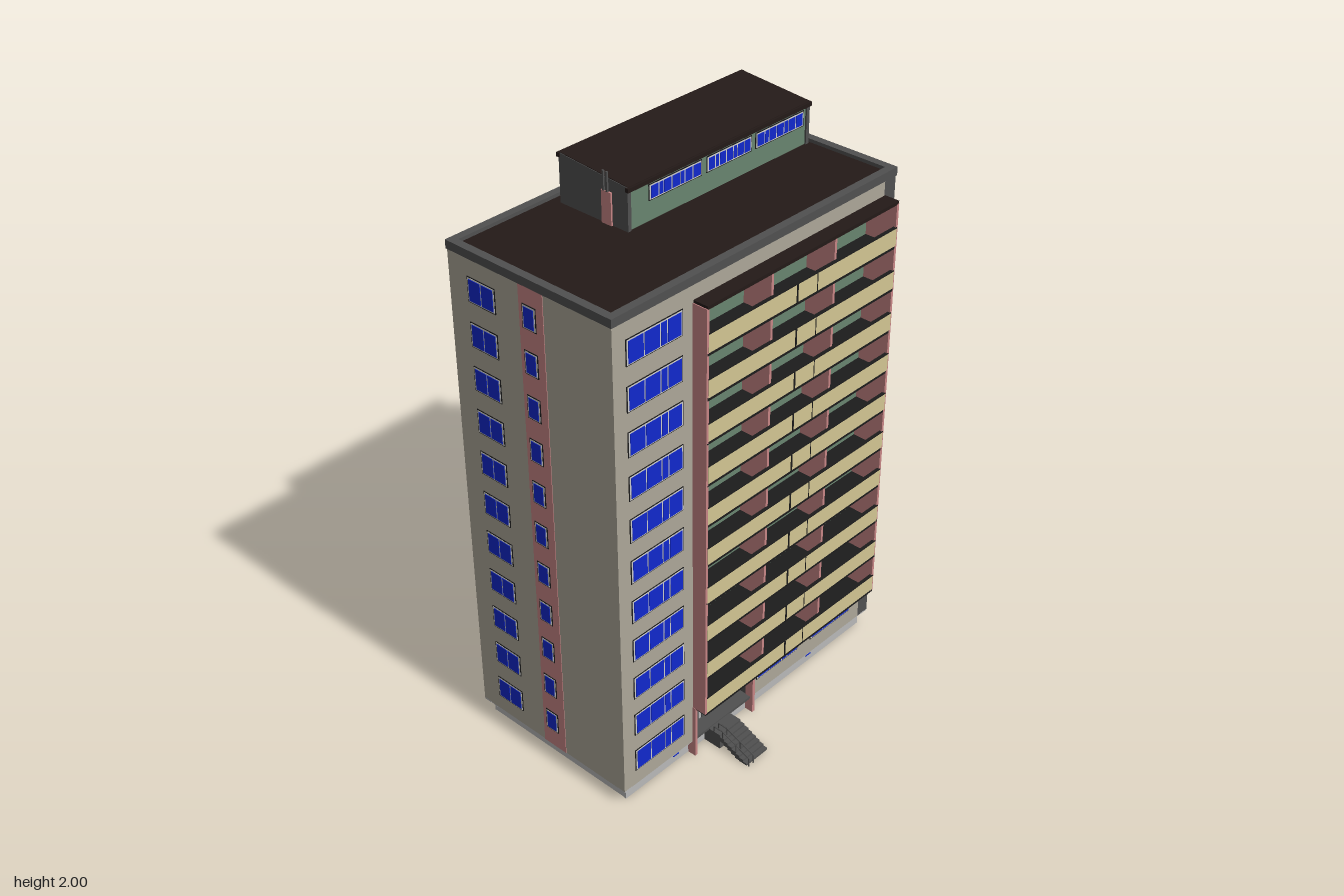
import * as THREE from 'three';

const COLORS = {
  wall: 0xada799, plinth: 0xb8b8b8, dark: 0x505050, roof: 0x241a18, green: 0x68846f,
  tan: 0xd2c592, pink: 0xc88686, blue: 0x1028cc, frame: 0xcccccc, black: 0x1c1c1c,
};
const MATS = {};
for (const k in COLORS) MATS[k] = new THREE.MeshStandardMaterial({ color: COLORS[k] });

const ROWS = 11, STEP = 0.1538, ROW0 = 0.164; // storeys, storey height, first window centre
const BASE = 0.06, TOP = 1.83, SLAB0 = 0.21;
const BAYS = [-0.3, -0.01, 0.283, 0.577];     // loggia divider positions

// Box given by its minimum and maximum along each axis
function box(parent, name, mat, x0, x1, y0, y1, z0, z1) {
  const w = Math.abs(x1 - x0);
  const m = new THREE.Mesh(new THREE.BoxGeometry(w, y1 - y0, z1 - z0), MATS[mat]);
  m.position.set((x0 + x1) / 2, (y0 + y1) / 2, (z0 + z1) / 2);
  m.name = name;
  parent.add(m);
  return m;
}

// Framed window facing +z; panes holds the relative widths of its panes
function windowUnit(parent, x, y, z, w, h, panes) {
  const g = new THREE.Group();
  g.name = 'window';
  g.position.set(x, y, z);
  parent.add(g);
  box(g, 'windowSurround', 'black', -w / 2 - 0.003, w / 2 + 0.003, -h / 2 - 0.003, h / 2 + 0.003, -0.014, 0.002);
  box(g, 'windowFrame', 'frame', -w / 2, w / 2, -h / 2, h / 2, -0.015, 0.003);
  const gap = 0.005, sum = panes.reduce((a, b) => a + b, 0);
  const unit = (w - gap * (panes.length + 1)) / sum;
  let px = -w / 2 + gap;
  for (const p of panes) {
    box(g, 'windowPane', 'blue', px, px + p * unit, -h / 2 + 0.004, h / 2 - 0.004, -0.016, 0.0045);
    px += p * unit + gap;
  }
  return g;
}

const WIDE = [1, 1, 0.4, 0.9];

// Long facade with loggias, built facing +z at depth D; s = -1 swaps the x direction
function facade(name, s, D) {
  const g = new THREE.Group();
  g.name = name;
  const b = (n, m, x0, x1, y0, y1, z0, z1) => box(g, n, m, s * x0, s * x1, y0, y1, z0, z1);
  const front = s === 1, inner = D - 0.06, outer = D + 0.055, t = 0.01;
  const [xa, xb] = [BAYS[0], BAYS[3]];

  // Wall pieces around the loggias
  b('facadeWall', 'wall', -0.63, xa, BASE, TOP, D - t, D);
  b('cornerStrip', front ? 'dark' : 'wall', xb, 0.63, BASE, TOP, D - t, D);
  b('upperWall', 'wall', xa, xb, 1.75, TOP, D - t, D);
  b('groundWall', 'wall', front ? -0.005 : xa, xb, BASE, SLAB0, D - t, D);
  b('loggiaWall', 'green', xa, xb, SLAB0, 1.75, inner - t, inner);

  // Dividers, end walls and ground columns
  BAYS.forEach((x, i) => {
    const end = i === 0 || i === 3;
    b('loggiaDivider', 'pink', x - 0.005, x + 0.005, SLAB0, 1.745, inner, end ? outer : outer - 0.008);
    if (i < 2) b('groundColumn', 'pink', x - 0.006, x + 0.006, 0, SLAB0, D - 0.02, D + 0.012);
  });

  // Slabs, parapets and loggia windows
  for (let r = 0; r < ROWS; r++) {
    const y = SLAB0 + r * STEP;
    b(r === ROWS - 1 ? 'loggiaRoof' : 'loggiaSlab', r === ROWS - 1 ? 'roof' : 'black',
      xa - 0.002, xb + 0.004, y - 0.006, y + 0.006, inner, outer);
    if (r === ROWS - 1) break;
    b('parapet', 'tan', xa + 0.003, xb, y + 0.004, y + 0.066, outer - 0.008, outer + 0.001);
    b('parapetJoint', 'black', 0.092, 0.098, y, y + 0.066, outer - 0.009, outer + 0.003);
    b('parapetJoint', 'black', 0.188, 0.191, y, y + 0.066, outer - 0.009, outer + 0.002);
    b('parapetRail', 'black', xa + 0.003, xb, y + 0.066, y + 0.07, outer - 0.009, outer + 0.002);
    for (let i = 0; i < 3; i++) {
      const x = front ? BAYS[i] + 0.112 : BAYS[i + 1] - 0.112;
      windowUnit(g, s * x, ROW0 + (r + 1) * STEP, inner, 0.195, 0.085, WIDE);
    }
  }

  // Window column beside the loggias and ground-floor windows
  for (let r = 0; r < ROWS; r++) windowUnit(g, s * -0.463, ROW0 + r * STEP, D, 0.225, 0.082, WIDE);
  for (const x of front ? [0.125, 0.412] : [-0.14, 0.115, 0.42]) {
    windowUnit(g, s * x, ROW0, D, 0.215, 0.08, WIDE);
  }

  // Plinth with ledge and cellar windows
  b('plinthWall', 'plinth', -0.605, 0.603, 0, BASE, D - 0.03, D - 0.02);
  b('plinthLedge', 'plinth', -0.63, 0.63, BASE - 0.004, BASE + 0.002, D - 0.032, D - 0.001);
  for (const x of [-0.368, 0.015, 0.32]) b('cellarWindow', 'blue', x - 0.013, x + 0.013, 0.027, 0.043, D - 0.032, D - 0.017);

  // Roof rim
  b('roofRim', 'dark', -0.633, 0.633, TOP - 0.025, TOP + 0.004, D - 0.025, D + 0.003);
  if (!front) g.rotation.y = Math.PI;
  return g;
}

// Short end walls, built facing +z; local x runs along the building depth
function endWall(name, s) {
  const g = new THREE.Group();
  g.name = name;
  const W = 0.63, x = (z) => -s * z;
  const b = (n, m, z0, z1, y0, y1, d0, d1) => box(g, n, m, x(z0), x(z1), y0, y1, d0, d1);
  b('endWall', 'wall', -0.4, 0.27, BASE, TOP, W - 0.01, W);
  b('plinthWall', 'plinth', -0.38, 0.25, 0, BASE, W - 0.036, W - 0.026);
  b('plinthLedge', 'plinth', -0.4, 0.27, BASE - 0.004, BASE + 0.002, W - 0.036, W - 0.001);
  b('roofRim', 'dark', -0.4, 0.27, TOP - 0.025, TOP + 0.004, W - 0.025, W + 0.003);
  if (s < 0) b('stairStrip', 'pink', -0.1, 0.0, BASE, TOP - 0.025, W - 0.012, W + 0.002);
  for (let r = 0; r < ROWS; r++) {
    const y = ROW0 + r * STEP;
    windowUnit(g, x(-0.26), y, W, 0.112, 0.08, [1, 1]);
    windowUnit(g, x(-0.057), y + 0.005, W + (s < 0 ? 0.002 : 0), 0.05, 0.075, [1]);
    if (s > 0) b('windowApron', 'tan', -0.082, -0.034, y - 0.085, y - 0.036, W - 0.005, W + 0.003);
  }
  g.rotation.y = s * Math.PI / 2;
  return g;
}

// Recessed entrance with door, steps and railings
function entrance() {
  const g = new THREE.Group();
  g.name = 'entrance';
  box(g, 'entranceBackWall', 'dark', -0.3, -0.005, BASE, SLAB0, 0.2, 0.21);
  for (const x of [-0.3, -0.01]) box(g, 'entranceSideWall', 'dark', x - 0.004, x + 0.004, BASE, SLAB0, 0.2, 0.268);
  box(g, 'entranceFloor', 'dark', -0.3, -0.005, BASE - 0.006, BASE + 0.004, 0.2, 0.27);
  box(g, 'door', 'plinth', -0.215, -0.13, BASE, 0.2, 0.205, 0.216);
  box(g, 'doorLeaf', 'dark', -0.205, -0.14, BASE, 0.155, 0.206, 0.218);
  box(g, 'doorGlass', 'blue', -0.197, -0.178, 0.11, 0.145, 0.206, 0.22);
  box(g, 'transomWindow', 'blue', -0.208, -0.137, 0.163, 0.195, 0.206, 0.22);
  box(g, 'landing', 'dark', -0.225, -0.12, 0.0, BASE, 0.25, 0.32);
  const n = 7;
  for (let i = 0; i < n; i++) {
    const y = BASE * (1 - (i + 1) / (n + 1)), z = 0.32 + i * 0.017;
    box(g, 'step', 'dark', -0.225, -0.12, Math.max(0, y - 0.02), y, z, z + 0.018);
  }
  for (const x of [-0.222, -0.2]) {
    const pts = [[0.08, 0.29], [0.08, 0.33], [0.035, 0.447], [0.0, 0.447]].map(([y, z]) => new THREE.Vector3(x, y, z));
    for (let i = 0; i < 3; i++) {
      const rail = new THREE.Mesh(new THREE.TubeGeometry(new THREE.LineCurve3(pts[i], pts[i + 1]), 1, 0.0025, 5), MATS.dark);
      rail.name = 'handrail';
      g.add(rail);
    }
    for (const [z, y0, y1] of [[0.292, 0.055, 0.08], [0.33, 0.05, 0.08], [0.39, 0.02, 0.057]]) {
      box(g, 'railPost', 'dark', x - 0.002, x + 0.002, y0, y1, z - 0.002, z + 0.002);
    }
  }
  return g;
}

// Rooftop storey with a sloping roof
function penthouse() {
  const g = new THREE.Group();
  g.name = 'penthouse';
  const profile = (z0, z1, y0, ya, yb, x0, x1, name, mat) => { // side outline pushed along x
    const shape = new THREE.Shape([[-z0, y0], [-z1, y0], [-z1, yb], [-z0, ya]].map(([a, c]) => new THREE.Vector2(a, c)));
    const m = new THREE.Mesh(new THREE.ExtrudeGeometry(shape, { depth: x1 - x0, bevelEnabled: false }), MATS[mat]);
    m.rotation.y = Math.PI / 2;
    m.position.x = x0;
    m.name = name;
    g.add(m);
  };
  profile(-0.062, -0.335, 1.81, 1.955, 1.975, -0.215, 0.585, 'penthouseWalls', 'green');
  for (const x of [-0.228, 0.583]) profile(-0.056, -0.341, 1.81, 1.966, 1.988, x, x + 0.014, 'penthouseSide', 'dark');
  for (const [z, y] of [[-0.056, 1.966], [-0.341, 1.988]]) // roof edge trim
    box(g, 'roofEdge', 'roof', -0.232, 0.6, y - 0.014, y, z - 0.006, z + 0.006);
  profile(-0.056, -0.341, 1.95, 1.968, 1.99, -0.226, 0.596, 'penthouseRoof', 'roof');
  box(g, 'roofDoor', 'pink', -0.234, -0.226, 1.82, 1.93, -0.16, -0.12);
  for (const z of [-0.135, -0.15]) box(g, 'ventPipe', 'dark', -0.236, -0.23, 1.93, 1.995, z - 0.003, z + 0.003);
  const back = new THREE.Group();
  back.name = 'penthouseBackWindows';
  back.rotation.y = Math.PI;
  g.add(back);
  for (const [x, w] of [[-0.02, 0.225], [0.22, 0.2], [0.457, 0.225]]) {
    const panes = [1, 0.5, 1, 1, 0.5, 1, 1];
    windowUnit(g, x, 1.915, -0.062, w, 0.048, panes);
    windowUnit(back, -x, 1.915, 0.335, w, 0.048, panes);
  }
  return g;
}

export function createModel() {
  const model = new THREE.Group();
  model.name = 'apartmentBlock';
  model.add(facade('frontFacade', 1, 0.27), facade('backFacade', -1, 0.4));
  model.add(endWall('leftEnd', 1), endWall('rightEnd', -1));
  model.add(entrance(), penthouse());
  box(model, 'roofDeck', 'roof', -0.62, 0.62, TOP - 0.02, TOP - 0.008, -0.39, 0.26);
  return model;
}
